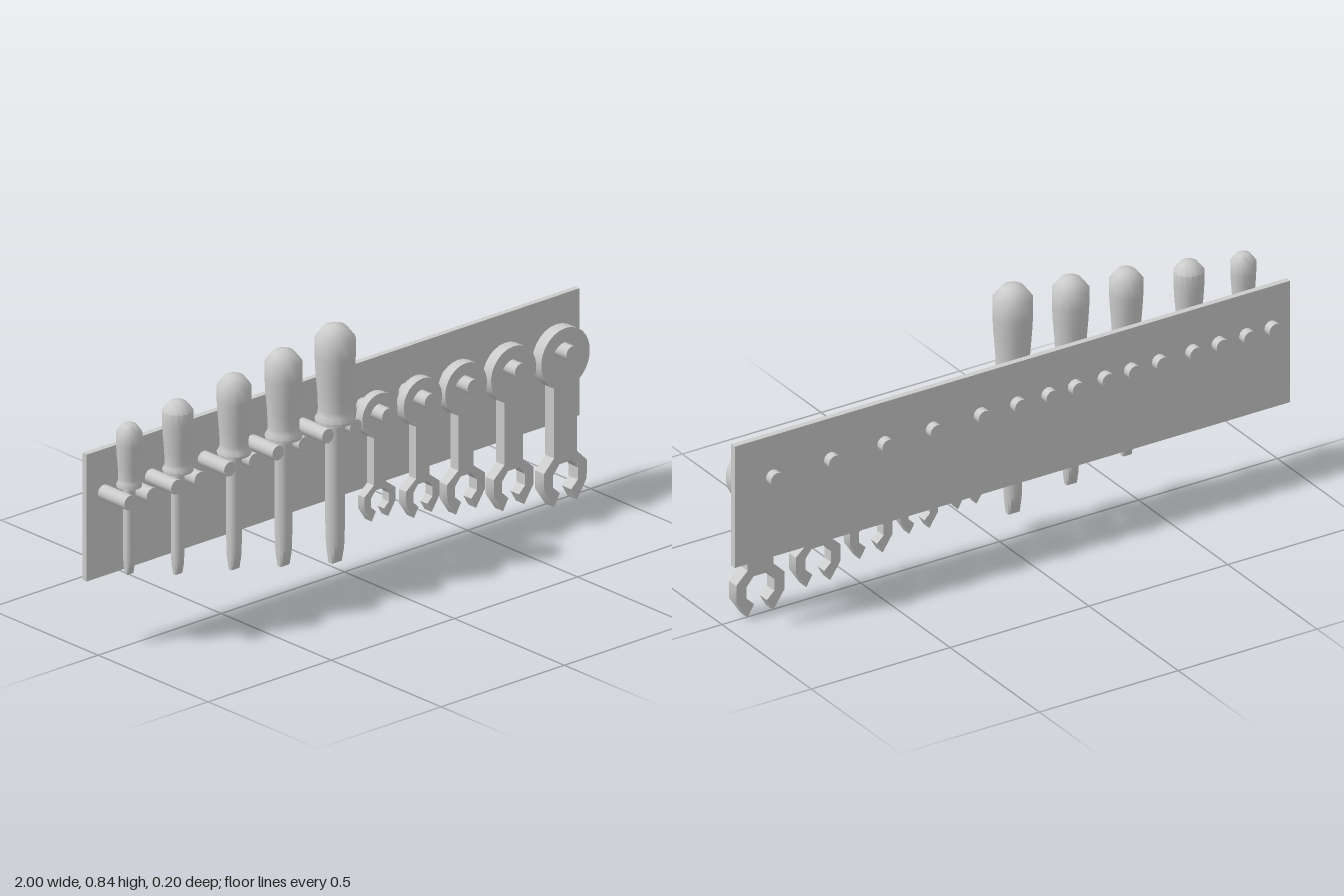
import * as THREE from 'three';
import { toCreasedNormals } from 'three/addons/utils/BufferGeometryUtils.js';

const material = new THREE.MeshStandardMaterial({ color: 0xcccccc });
const PEG_Y = 0.5;
const HANDLE_Y = 0.527;

function part(name, geometry, x = 0, y = 0, z = 0) {
  const mesh = new THREE.Mesh(geometry, material);
  mesh.name = name;
  mesh.position.set(x, y, z);
  return mesh;
}

function lathe(points, sides) {
  return new THREE.LatheGeometry(points.map(([r, y]) => new THREE.Vector2(r, y)), sides);
}

// Round peg running through the board
function peg(x) {
  const geometry = new THREE.CylinderGeometry(0.024, 0.024, 0.168, 12).rotateX(Math.PI / 2);
  return part('peg', geometry, x, PEG_Y, -0.016);
}

// Handle profile as fractions of radius and height
const HANDLE = [
  [0, 0], [0.98, 0], [1, 0.03], [0.85, 0.08], [0.83, 0.13], [0.86, 0.28],
  [0.95, 0.5], [1, 0.68], [1, 0.86], [0.56, 0.975], [0, 1],
];

function screwdriver({ x, z, r, top, shaft, tip }) {
  const group = new THREE.Group();
  group.name = 'screwdriver';
  group.position.set(x, 0, z);
  const handle = lathe(HANDLE.map(([a, b]) => [a * r, b * (top - HANDLE_Y)]), 16);
  group.add(part('handle', toCreasedNormals(handle, 0.75), 0, HANDLE_Y));

  // Shaft narrows at the end and is cut by two sloping planes into a blade
  const blade = lathe([
    [0, tip], [shaft * 0.72, tip], [shaft * 0.8, tip + shaft * 0.7], [shaft * 0.88, tip + shaft * 1.4],
    [shaft * 0.93, tip + shaft * 2], [shaft, tip + shaft * 4.2], [shaft, HANDLE_Y + 0.01],
  ], 16);
  const pos = blade.attributes.position;
  for (let i = 0; i < pos.count; i++) {
    const limit = shaft * 0.3 + (pos.getY(i) - tip) * 0.32;
    pos.setZ(i, THREE.MathUtils.clamp(pos.getZ(i), -limit, limit));
  }
  group.add(part('shaft', toCreasedNormals(blade, 0.45)));
  return group;
}

// Right half of the open jaw, from outer shoulder to inner crown
const JAW = [
  [0.087, 0.035], [0.086, -0.025], [0.046, -0.085], [0.023, -0.045],
  [0.05, -0.02], [0.05, 0.02], [0.025, 0.05],
];

function wrench({ x, ring, neck, jaw, bottom }) {
  const hole = ring * 0.55;
  const ringY = 0.53 - hole;
  const s = jaw / 0.087;
  const jawY = bottom + 0.085 * s;
  const half = [[neck, 0.075 * s], ...JAW.map(([a, b]) => [a * s, b * s])]
    .map(([a, b]) => new THREE.Vector2(a, b + jawY));
  const mirrored = half.map((p) => new THREE.Vector2(-p.x, p.y)).reverse();

  // Ring arc, leaving the bottom open where the neck joins
  const join = Math.asin(neck / ring);
  const arc = [];
  for (let i = 0; i <= 22; i++) {
    const a = -Math.PI / 2 - join - (i / 22) * (Math.PI * 2 - join * 2);
    arc.push(new THREE.Vector2(Math.cos(a) * ring, ringY + Math.sin(a) * ring));
  }
  const shape = new THREE.Shape([...half, ...mirrored, ...arc]);
  shape.holes.push(new THREE.Path().absarc(0, ringY, hole, 0, Math.PI * 2, true));

  const depth = ring * 0.42;
  const geometry = new THREE.ExtrudeGeometry(shape, { depth, bevelEnabled: false, curveSegments: 10 });
  return part('wrench', toCreasedNormals(geometry, 0.6), x, 0, 0.0165 - depth / 2);
}

export function createModel() {
  const model = new THREE.Group();
  model.name = 'toolRack';
  model.add(part('board', new THREE.BoxGeometry(2, 0.415, 0.02), 0, 0.4325, -0.062));

  // Screwdrivers, each hanging between two pegs
  const drivers = [
    { x: -0.885, z: 0.012, r: 0.04, top: 0.733, shaft: 0.019, tip: 0.24 },
    { x: -0.693, z: 0.018, r: 0.048, top: 0.757, shaft: 0.021, tip: 0.19 },
    { x: -0.475, z: 0.03, r: 0.053, top: 0.787, shaft: 0.024, tip: 0.15 },
    { x: -0.276, z: 0.032, r: 0.058, top: 0.815, shaft: 0.027, tip: 0.108 },
    { x: -0.071, z: 0.037, r: 0.063, top: 0.843, shaft: 0.03, tip: 0.065 },
  ];
  for (const d of drivers) {
    const gap = d.shaft + 0.0265;
    model.add(screwdriver(d), peg(d.x - gap), peg(d.x + gap));
  }

  // Wrenches, each hanging by its ring on one peg
  const wrenches = [
    { x: 0.116, ring: 0.072, neck: 0.025, jaw: 0.063, bottom: 0.152 },
    { x: 0.289, ring: 0.078, neck: 0.0275, jaw: 0.068, bottom: 0.118 },
    { x: 0.463, ring: 0.085, neck: 0.031, jaw: 0.077, bottom: 0.083 },
    { x: 0.655, ring: 0.092, neck: 0.037, jaw: 0.081, bottom: 0.043 },
    { x: 0.864, ring: 0.099, neck: 0.046, jaw: 0.087, bottom: 0 },
  ];
  for (const w of wrenches) model.add(wrench(w), peg(w.x));
  return model;
}
